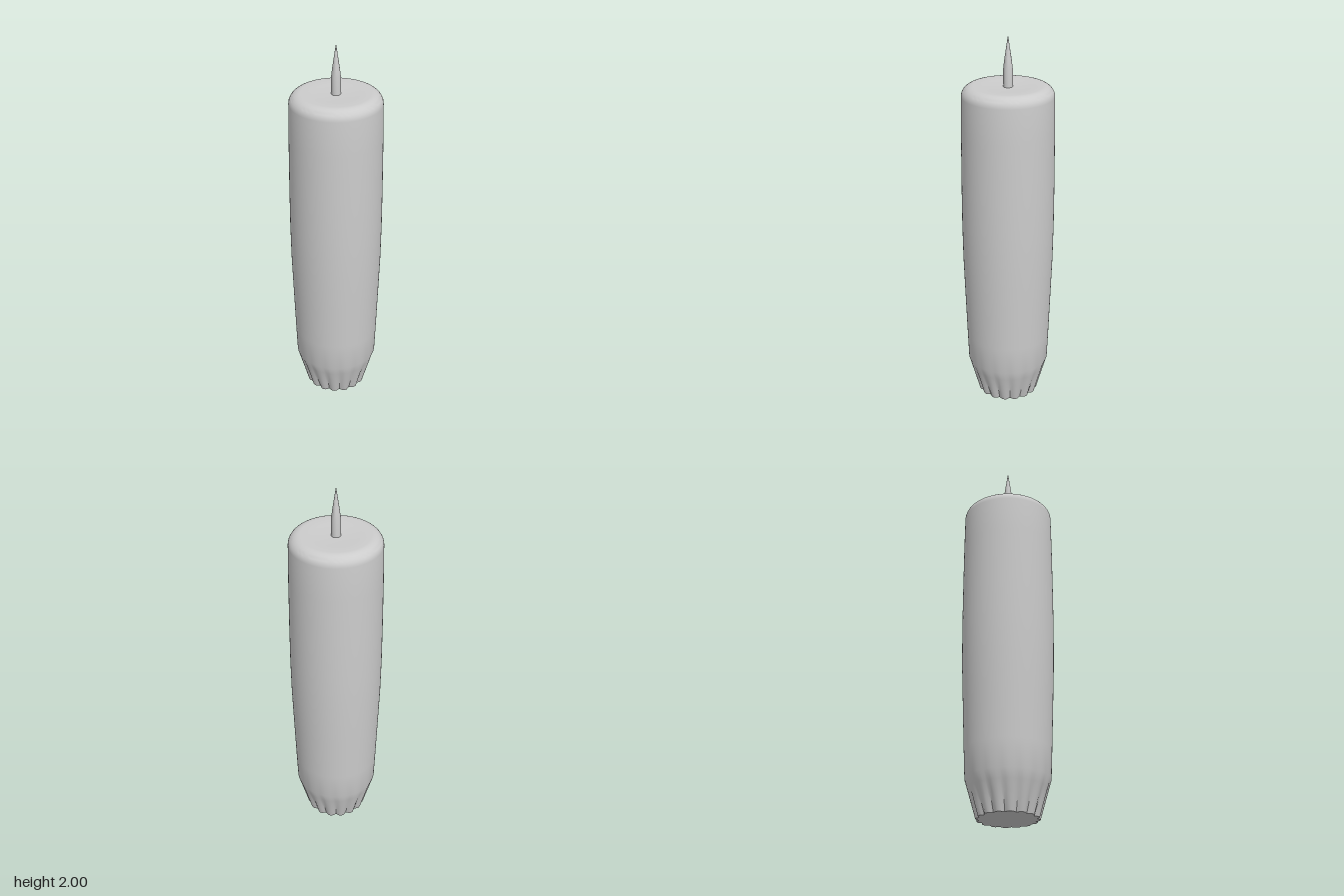
import * as THREE from 'three';
import { mergeVertices, toCreasedNormals } from 'three/addons/utils/BufferGeometryUtils.js';

const FLUTES = 16;
const material = new THREE.MeshStandardMaterial({ color: 0xcccccc });

// Lathe welded at its seam, so the normals stay smooth all round
function turned(profile, segments, reshape) {
  const lathe = new THREE.LatheGeometry(profile.map(([r, y]) => new THREE.Vector2(r, y)), segments);
  lathe.deleteAttribute('uv');
  lathe.deleteAttribute('normal');
  const geometry = mergeVertices(lathe, 1e-5);
  if (reshape) reshape(geometry.attributes.position);
  return toCreasedNormals(geometry, 0.75);
}

// Press vertical grooves into the tapered foot, fading out upwards
function flute(position) {
  for (let i = 0; i < position.count; i++) {
    const x = position.getX(i), y = position.getY(i), z = position.getZ(i);
    const r = Math.hypot(x, z);
    if (y > 0.2 || r < 0.15) continue;
    const wave = 0.5 + 0.5 * Math.cos(FLUTES * Math.atan2(x, z));
    const scale = 1 - 0.1 * (1 - y / 0.2) * wave ** 2;
    position.setX(i, x * scale);
    position.setZ(i, z * scale);
  }
}

export function createModel() {
  const model = new THREE.Group();
  model.name = 'candle';

  // Wax body: fluted foot, gently swelling sides, rounded shoulder
  const profile = [
    [0, 0], [0.08, 0], [0.16, 0], [0.174, 0.05], [0.188, 0.1], [0.202, 0.15], [0.216, 0.2],
    [0.222, 0.35], [0.231, 0.6], [0.238, 0.8], [0.241, 1], [0.241, 1.2], [0.239, 1.5], [0.236, 1.69],
  ];
  for (let i = 1; i <= 8; i++) {
    const a = (i / 8) * Math.PI / 2;
    profile.push([0.176 + 0.06 * Math.cos(a), 1.69 + 0.055 * Math.sin(a)]);
  }
  profile.push([0.12, 1.742], [0.05, 1.738], [0, 1.738]);
  const body = new THREE.Mesh(turned(profile, FLUTES * 6, flute), material);
  body.name = 'waxBody';
  model.add(body);

  // Wick: short round stem drawn out to a point
  const wick = new THREE.Mesh(turned([
    [0, 1.72], [0.024, 1.72], [0.024, 1.83], [0.018, 1.88], [0.009, 1.94], [0, 2],
  ], 24), material);
  wick.name = 'wick';
  model.add(wick);

  return model;
}
